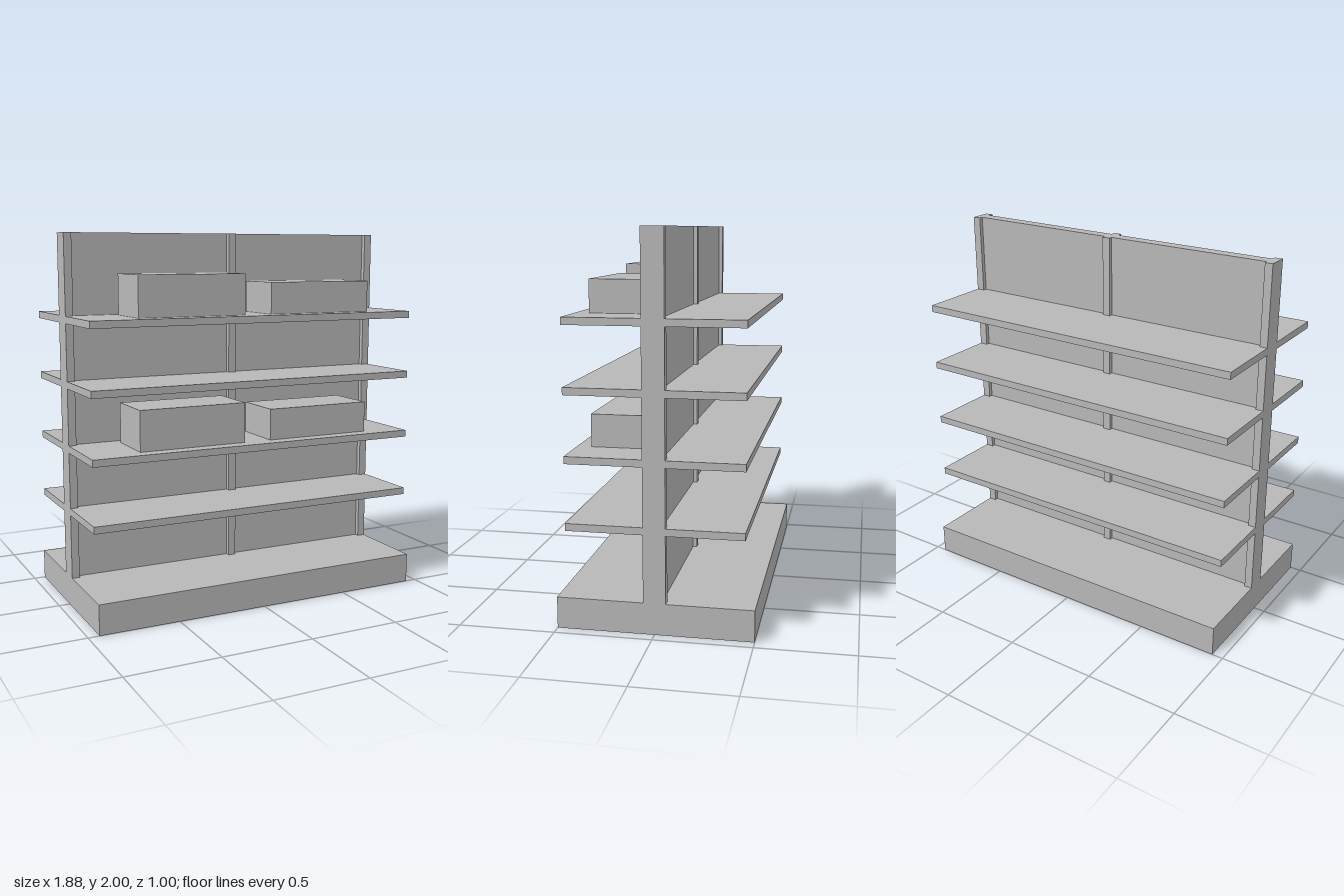
import * as THREE from 'three';

export function createModel() {
  const model = new THREE.Group();
  model.name = 'gondolaShelf';
  const grey = new THREE.MeshStandardMaterial({ color: 0xb8b8b8 });
  grey.name = 'light grey';

  // Box given by its minimum and maximum on each axis
  function block(name, [x0, x1], [y0, y1], [z0, z1]) {
    const mesh = new THREE.Mesh(new THREE.BoxGeometry(x1 - x0, y1 - y0, z1 - z0), grey);
    mesh.position.set((x0 + x1) / 2, (y0 + y1) / 2, (z0 + z1) / 2);
    mesh.name = name;
    model.add(mesh);
  }

  const width = [-0.94, 0.94];
  const baseTop = 0.163;

  // Plinth and central back panel
  block('base', width, [0, baseTop], [-0.5, 0.5]);
  block('backPanel', [-0.9, 0.895], [baseTop, 2], [-0.035, 0.03]);

  // Uprights: two ends and one just beside the middle
  [['rightPost', [-0.94, -0.898]], ['middlePost', [0, 0.043]], ['leftPost', [0.895, 0.94]]]
    .forEach(([name, x]) => block(name, x, [baseTop, 2], [-0.057, 0.057]));

  // Four shelf levels, each with a front and a back board
  const shelfTops = [0.55, 0.89, 1.232, 1.572];
  for (const top of shelfTops) {
    block('frontShelf', width, [top - 0.038, top], [0.03, 0.45]);
    block('backShelf', width, [top - 0.038, top], [-0.45, -0.035]);
  }

  // Cartons on two of the front shelves
  for (const top of [shelfTops[1], shelfTops[3]]) {
    block('tallCarton', [-0.66, -0.06], [top, top + 0.217], [0.083, 0.375]);
    block('lowCarton', [0.095, 0.705], [top, top + 0.17], [0.083, 0.375]);
  }

  return model;
}
